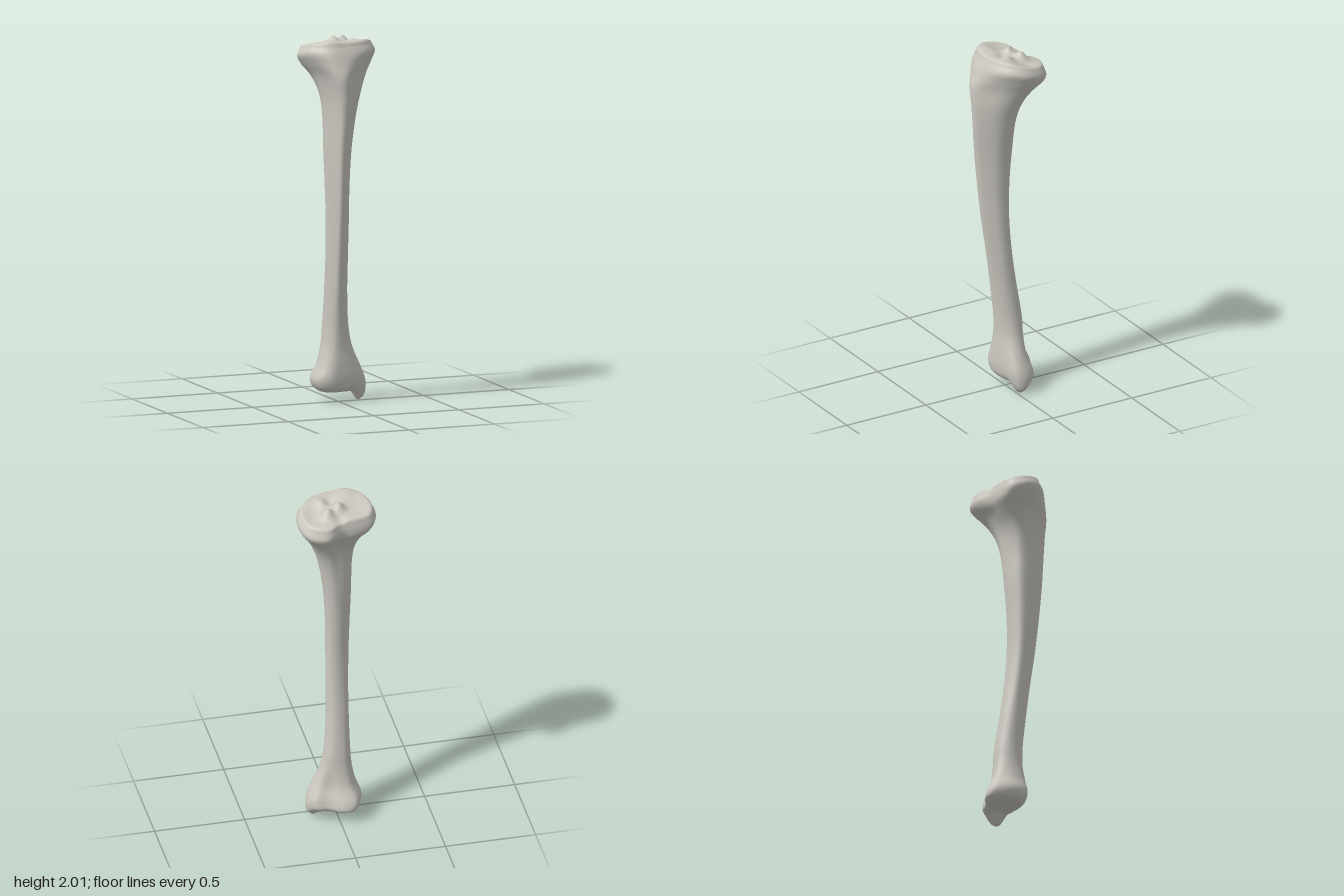
import * as THREE from 'three';

const SIDES = 80, STEPS = 6;

// Outline shapes (x, z pairs) running from the left side (+x) round the front; scaled to fit each station
const OUTLINES = [
  // ankle end
  [.165, -.04, .155, .01, .09, .04, .02, .055, -.07, .06, -.12, .03, -.135, -.04, -.125, -.1, -.085, -.165, -.02, -.165, .06, -.12, .13, -.1],
  // lower shaft
  [.065, -.03, .058, .005, .035, .035, 0, .053, -.035, .053, -.064, .025, -.078, -.015, -.074, -.055, -.045, -.088, -.005, -.095, .03, -.088, .055, -.065],
  // triangular shaft with a front crest
  [.042, .03, .038, .07, .01, .115, -.02, .145, -.045, .148, -.068, .11, -.088, .06, -.088, .02, -.065, -.005, -.03, -.022, .005, -.022, .034, -.003],
  // front bump below the knee
  [.165, -.02, .13, .06, .04, .14, -.03, .185, -.08, .17, -.12, .1, -.15, 0, -.135, -.07, -.07, -.1, 0, -.1, .07, -.12, .14, -.09],
  // knee plateau
  [.215, -.03, .185, .04, .11, .1, 0, .125, -.1, .12, -.175, .06, -.21, -.04, -.18, -.11, -.09, -.135, -.01, -.145, .08, -.19, .18, -.15],
];

// Stations up the bone: y, x min, x max, z min, z max, outline (fractions blend two)
const STATIONS = [
  [.055, -.095, .135, -.145, .035, 0],
  [.075, -.12, .16, -.172, .052, 0],
  [.12, -.135, .166, -.168, .062, 0],
  [.2, -.107, .127, -.125, .06, .4],
  [.3, -.086, .086, -.105, .053, .8],
  [.4, -.078, .066, -.095, .055, 1],
  [.6, -.075, .05, -.065, .075, 1.4],
  [.8, -.077, .045, -.037, .1, 1.8],
  [1, -.083, .042, -.022, .128, 2],
  [1.2, -.09, .042, -.025, .15, 2],
  [1.4, -.097, .055, -.036, .168, 2.1],
  [1.6, -.102, .088, -.047, .182, 2.3],
  [1.7, -.115, .12, -.07, .188, 2.6],
  [1.8, -.15, .167, -.122, .19, 3],
  [1.87, -.195, .2, -.172, .168, 3.55],
  [1.925, -.22, .217, -.19, .148, 4],
  [1.965, -.205, .2, -.178, .128, 4],
];

const smooth = THREE.MathUtils.smoothstep;
const bump = (x, z, cx, cz, r) => Math.exp(-((x - cx) ** 2 + (z - cz) ** 2) / (r * r));

// Closed smooth outline for one station, fitted to its extents
function stationRing([y, x0, x1, z0, z1, kind]) {
  const i = Math.min(Math.floor(kind), OUTLINES.length - 2), f = kind - i;
  const pts = [];
  for (let k = 0; k < 12; k++) {
    const mix = c => THREE.MathUtils.lerp(OUTLINES[i][2 * k + c], OUTLINES[i + 1][2 * k + c], f);
    pts.push(new THREE.Vector3(mix(0), 0, mix(1)));
  }
  const curve = new THREE.CatmullRomCurve3(pts, true);
  const ring = Array.from({ length: SIDES }, (_, j) => curve.getPoint(j / SIDES));
  const box = new THREE.Box3().setFromPoints(ring);
  ring.forEach(p => p.set(
    THREE.MathUtils.mapLinear(p.x, box.min.x, box.max.x, x0, x1), y,
    THREE.MathUtils.mapLinear(p.z, box.min.z, box.max.z, z0, z1)));
  return ring;
}

// Shrinks an end ring towards its middle to close the bone
function capRing(ring, scale, y) {
  const mid = new THREE.Box3().setFromPoints(ring).getCenter(new THREE.Vector3());
  return ring.map(p => new THREE.Vector3(mid.x + (p.x - mid.x) * scale, y, mid.z + (p.z - mid.z) * scale));
}

// Slopes the plateau, raises its two spines, hollows the condyles, drops the inner ankle knob
function sculpt(p) {
  const { x, y, z } = p;
  p.y -= smooth(y, 1.72, 1.95) * .25 * Math.max(0, .05 - z);
  const cap = smooth(y, 1.95, 1.982);
  p.y += cap * (.04 * bump(x, z, -.015, -.035, .028) + .043 * bump(x, z, .055, -.07, .03)
    + .015 * bump(x, z, .07, .02, .025) + .012 * bump(x, z, -.08, .08, .05)
    - .016 * bump(x, z, .13, -.05, .065) - .007 * bump(x, z, -.12, -.03, .07)
    - .014 * bump(x, z, .02, .03, .03) - .014 * bump(x, z, -.005, -.12, .03));
  const foot = 1 - smooth(y, .055, .2);
  p.y -= foot * .056 * smooth(x, .07, .118) * Math.exp(-(((z + .022) / .05) ** 2));
}

export function createModel() {
  const bone = new THREE.MeshStandardMaterial({ color: 0xcbc8c0 });
  bone.name = 'bone';

  // Smooth lengthwise curves through the stations
  const keys = STATIONS.map(stationRing);
  const lines = Array.from({ length: SIDES }, (_, j) => new THREE.CatmullRomCurve3(keys.map(r => r[j])));
  const count = (STATIONS.length - 1) * STEPS;
  const body = Array.from({ length: count + 1 }, (_, i) => lines.map(l => l.getPoint(i / count)));

  // End surfaces
  const bottom = [[0, .068], [.12, .068], [.25, .066], [.4, .064], [.55, .061], [.68, .059], [.8, .056], [.88, .053], [.95, .052]]
    .map(([s, y]) => capRing(body[0], s, y));
  const top = [[.985, 1.975], [.95, 1.982], [.9, 1.985], [.8, 1.985], [.7, 1.985], [.6, 1.985], [.5, 1.985],
    [.42, 1.985], [.34, 1.985], [.26, 1.985], [.18, 1.985], [.1, 1.985], [0, 1.985]]
    .map(([s, y]) => capRing(body[count], s, y));
  const rings = [...bottom, ...body, ...top];
  rings.flat().forEach(sculpt);

  // Faces between ring a and ring b
  const faces = (from, to) => {
    const out = [];
    for (let i = from; i < to; i++) for (let j = 0; j < SIDES; j++) {
      const k = (j + 1) % SIDES, a = i * SIDES, d = a + SIDES;
      out.push(a + j, d + j, a + k, a + k, d + j, d + k);
    }
    return out;
  };
  const whole = new THREE.BufferGeometry().setFromPoints(rings.flat());
  whole.setIndex(faces(0, rings.length - 1));
  whole.computeVertexNormals();

  // Parts share points and normals so the joins stay smooth
  const group = new THREE.Group();
  group.name = 'shinBone';
  const ankleTop = bottom.length + 3 * STEPS, kneeBase = bottom.length + 12 * STEPS;
  const parts = [['ankleEnd', 0, ankleTop], ['shaft', ankleTop, kneeBase],
    ['kneeEnd', kneeBase, bottom.length + count], ['kneePlateau', bottom.length + count, rings.length - 1]];
  for (const [name, from, to] of parts) {
    const geometry = new THREE.BufferGeometry();
    geometry.setAttribute('position', whole.attributes.position);
    geometry.setAttribute('normal', whole.attributes.normal);
    geometry.setIndex(faces(from, to));
    const mesh = new THREE.Mesh(geometry, bone);
    mesh.name = name;
    group.add(mesh);
  }
  return group;
}
